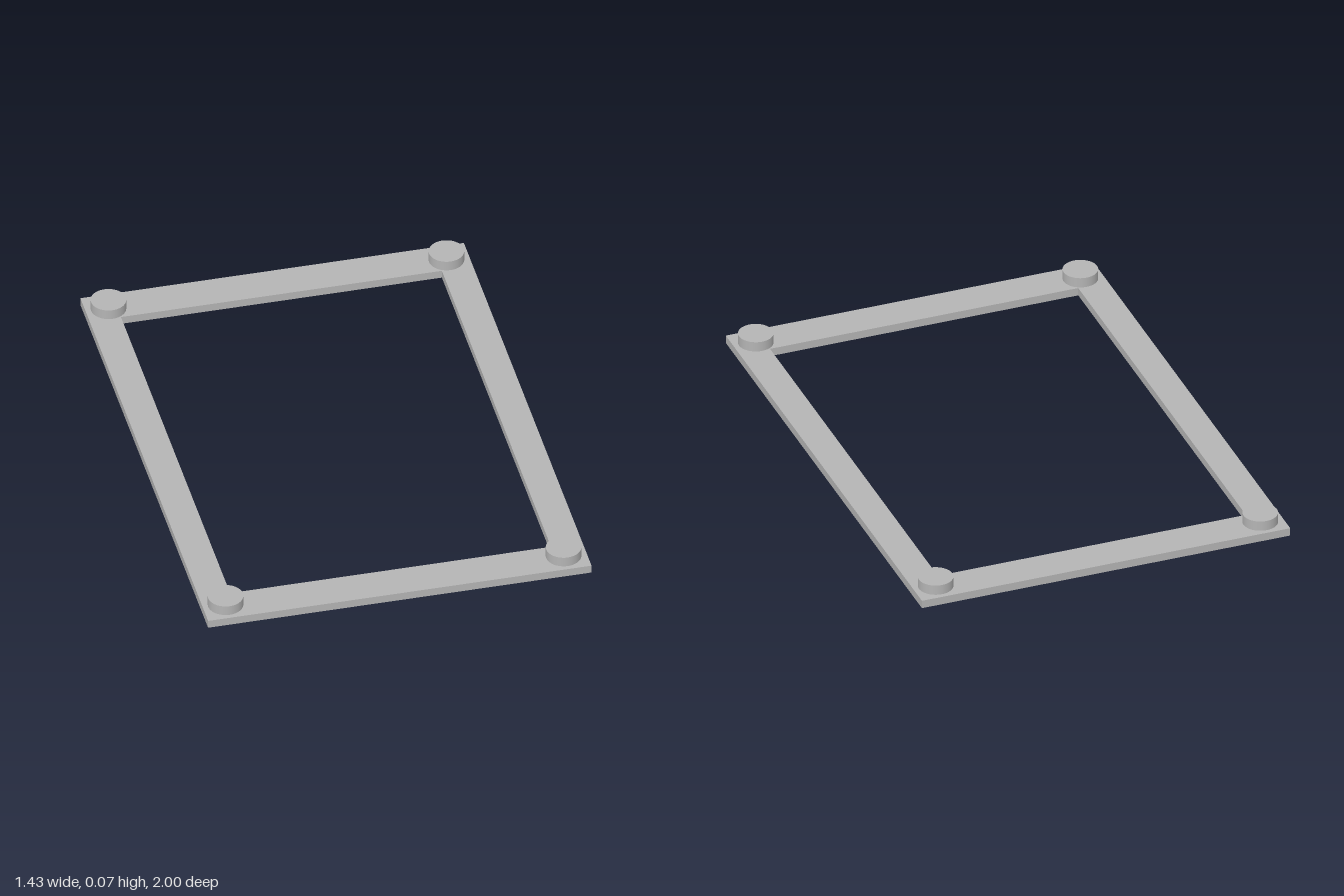
import * as THREE from 'three';

const HALF_X = 0.717, HALF_Z = 1, INNER_X = 0.6, INNER_Z = 0.855;
const THICKNESS = 0.031, TOP = 0.07;

// Rectangle centred on the origin, added to a shape or hole
function rectangle(path, hx, hy) {
  path.moveTo(-hx, -hy);
  path.lineTo(hx, -hy);
  path.lineTo(hx, hy);
  path.lineTo(-hx, hy);
  path.closePath();
  return path;
}

export function createModel() {
  const model = new THREE.Group();
  model.name = 'rectangularFrame';
  const grey = new THREE.MeshStandardMaterial({ color: 0xb4b4b4 });
  grey.name = 'plain grey';

  // Flat frame with a rectangular opening, laid on the ground
  const outline = rectangle(new THREE.Shape(), HALF_X, HALF_Z);
  outline.holes.push(rectangle(new THREE.Path(), INNER_X, INNER_Z));
  const frameGeometry = new THREE.ExtrudeGeometry(outline, { depth: THICKNESS, bevelEnabled: false });
  frameGeometry.rotateX(-Math.PI / 2);
  const frame = new THREE.Mesh(frameGeometry, grey);
  frame.name = 'frame';
  model.add(frame);

  // Round foot pad at each corner
  const height = TOP - THICKNESS;
  const padGeometry = new THREE.CylinderGeometry(0.065, 0.065, height, 48);
  for (const x of [-1, 1]) {
    for (const z of [-1, 1]) {
      const pad = new THREE.Mesh(padGeometry, grey);
      pad.name = (z > 0 ? 'front' : 'back') + (x > 0 ? 'Left' : 'Right') + 'Pad';
      pad.position.set(x * 0.632, THICKNESS + height / 2, z * 0.917);
      model.add(pad);
    }
  }
  return model;
}
